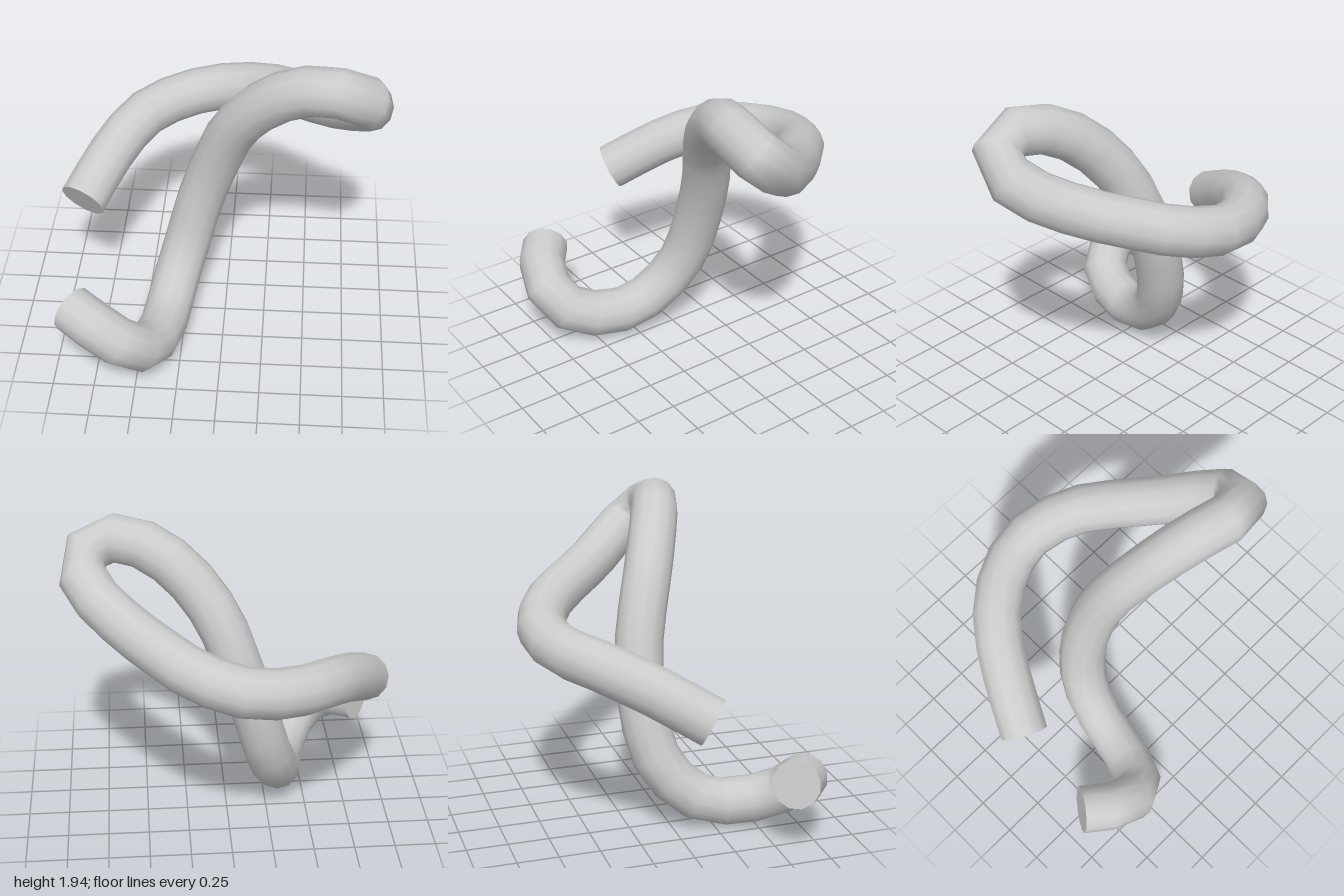
import * as THREE from 'three';

const RADIUS = 0.146;
const SIDES = 12;

// Centre line of the bent tube, from the raised end to the low end
const PATH = [
  [-0.865, 0.89, 0.06], [-0.71, 1.06, -0.24], [-0.54, 1.17, -0.49], [-0.33, 1.21, -0.65],
  [-0.08, 1.25, -0.715], [0.2, 1.32, -0.63], [0.38, 1.38, -0.48], [0.6, 1.46, -0.25],
  [0.78, 1.57, -0.05], [0.85, 1.69, 0.11], [0.74, 1.79, 0.2], [0.58, 1.81, 0.175],
  [0.42, 1.76, 0.12], [0.26, 1.65, 0.055], [0.12, 1.49, -0.015], [0.03, 1.34, -0.07],
  [-0.06, 1.1, -0.125], [-0.16, 0.8, -0.14], [-0.24, 0.5, -0.095], [-0.29, 0.34, -0.01],
  [-0.32, 0.24, 0.09], [-0.35, 0.17, 0.22], [-0.37, 0.155, 0.37], [-0.43, 0.19, 0.56],
  [-0.5, 0.26, 0.67], [-0.6, 0.35, 0.71], [-0.72, 0.42, 0.68], [-0.89, 0.455, 0.56],
];

export function createModel() {
  const group = new THREE.Group();
  group.name = 'bentTube';
  const material = new THREE.MeshStandardMaterial({ color: 0xcccccc });
  const curve = new THREE.CatmullRomCurve3(PATH.map((p) => new THREE.Vector3(...p)));

  // Tube body
  const tubeGeometry = new THREE.TubeGeometry(curve, 34, RADIUS, SIDES, false);
  const body = new THREE.Mesh(tubeGeometry, material);
  body.name = 'tubeBody';
  group.add(body);

  // Flat caps, each fanned from the outermost ring of the tube
  const addCap = (name, t, firstVertex, flip) => {
    const source = tubeGeometry.attributes.position;
    const points = [curve.getPointAt(t)];
    for (let i = 0; i < SIDES; i++) {
      points.push(new THREE.Vector3().fromBufferAttribute(source, firstVertex + i));
    }
    const index = [];
    for (let i = 0; i < SIDES; i++) {
      const a = 1 + i;
      const b = 1 + ((i + 1) % SIDES);
      index.push(0, flip ? b : a, flip ? a : b);
    }
    const geometry = new THREE.BufferGeometry().setFromPoints(points);
    geometry.setIndex(index);
    geometry.computeVertexNormals();
    // Turn the cap over if it faces into the tube
    const outward = curve.getTangentAt(t).multiplyScalar(t === 0 ? -1 : 1);
    const normal = new THREE.Vector3().fromBufferAttribute(geometry.attributes.normal, 0);
    if (normal.dot(outward) < 0) {
      geometry.setIndex(index.reverse());
      geometry.computeVertexNormals();
    }
    const cap = new THREE.Mesh(geometry, material);
    cap.name = name;
    group.add(cap);
  };
  addCap('raisedEndCap', 0, 0, false);
  addCap('lowEndCap', 1, 34 * (SIDES + 1), true);

  return group;
}
